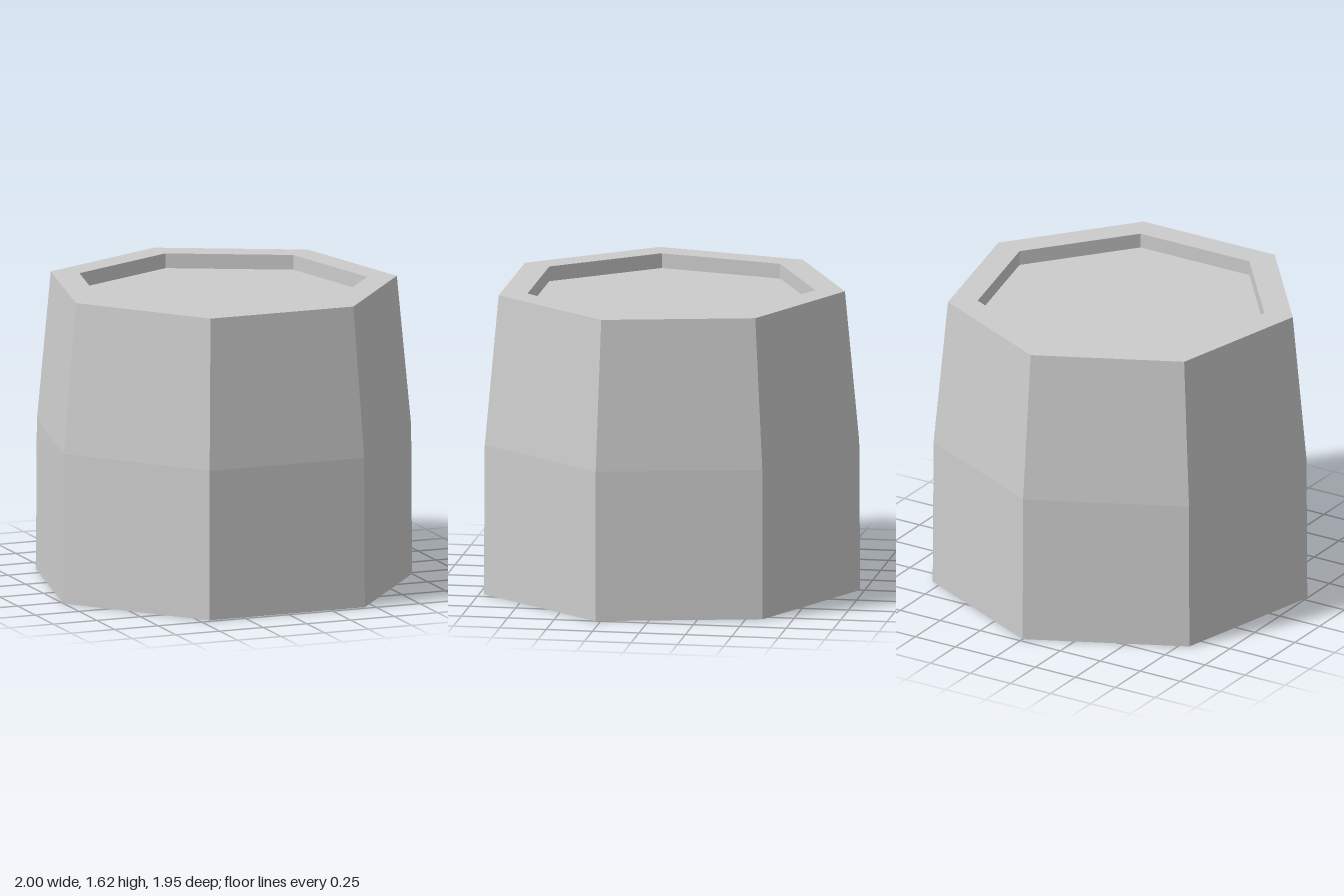
import * as THREE from 'three';

const SIDES = 7;
const HEIGHT = 1.62;
const RECESS = 0.08;
const BASE_R = 1.026, MID_R = 1.021, TOP_R = 0.944, INNER_R = 0.785;

// Seven-sided ring surface swept from a radius/height profile, one corner to the back
function sweep(name, profile, material) {
  const points = profile.map(([r, y]) => new THREE.Vector2(r, y));
  const geometry = new THREE.LatheGeometry(points, SIDES, Math.PI);
  const mesh = new THREE.Mesh(geometry, material);
  mesh.name = name;
  return mesh;
}

export function createModel() {
  const group = new THREE.Group();
  group.name = 'heptagonalTub';
  const grey = new THREE.MeshStandardMaterial({ color: 0xcccccc, flatShading: true });
  grey.name = 'light grey';

  const tub = new THREE.Group();
  tub.name = 'tub';
  tub.position.z = 0.05; // centres the depth of the odd-sided outline
  group.add(tub);

  // Closed underside and outer wall, tapering above mid height
  tub.add(sweep('underside', [[0, 0], [BASE_R, 0]], grey));
  tub.add(sweep('outerWall', [[BASE_R, 0], [MID_R, HEIGHT / 2], [TOP_R, HEIGHT]], grey));

  // Flat rim around a shallow straight-walled recess
  tub.add(sweep('rim', [[TOP_R, HEIGHT], [INNER_R, HEIGHT]], grey));
  tub.add(sweep('recessWall', [[INNER_R, HEIGHT], [INNER_R, HEIGHT - RECESS]], grey));
  tub.add(sweep('recessFloor', [[INNER_R, HEIGHT - RECESS], [0, HEIGHT - RECESS]], grey));

  return group;
}
